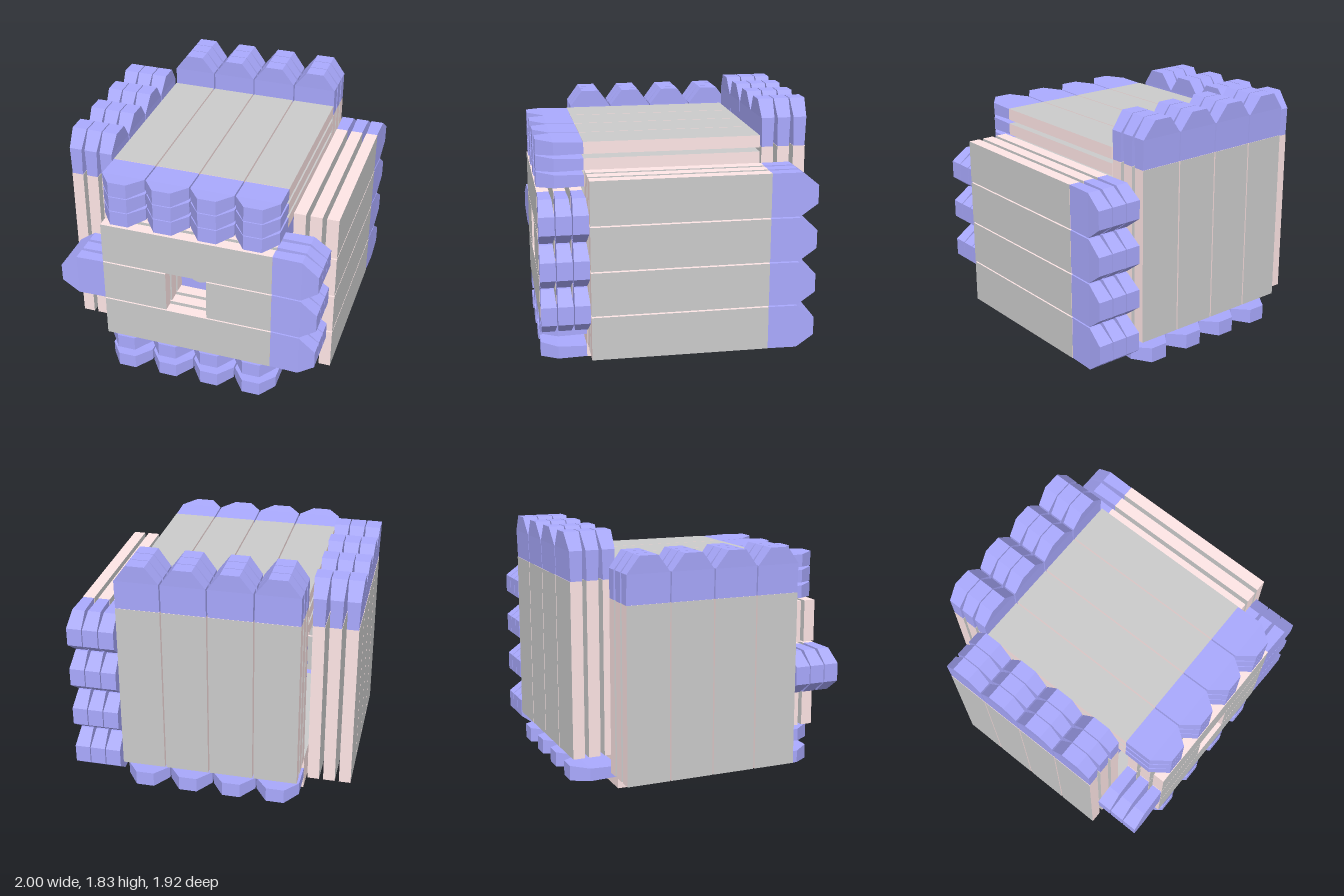
import * as THREE from 'three';

const mat = (color) => new THREE.MeshStandardMaterial({ color, flatShading: true });
const grey = mat(0xcccccc), pink = mat(0xffe6e6), blue = mat(0xaaaaff);
const orange = mat(0xf08010), magenta = mat(0xf080f0);

const PITCH = 0.32, WIDTH = 0.31, LENGTH = 1.24, THICK = 0.085;
const X = new THREE.Vector3(1, 0, 0), Y = new THREE.Vector3(0, 1, 0), Z = new THREE.Vector3(0, 0, 1);

// Tip that starts as thick as the plank, swells outwards and has clipped corners
function tipGeometry() {
  const sections = [[0, WIDTH, 0.08], [0.205, WIDTH, 0.092], [0.325, 0.13, 0.108]];
  const geo = new THREE.BoxGeometry(1, 2, 1, 1, 2, 1);
  const p = geo.attributes.position;
  for (let i = 0; i < p.count; i++) {
    const [h, w, t] = sections[Math.round(p.getY(i)) + 1];
    p.setXYZ(i, p.getX(i) * w, h, p.getZ(i) * t);
  }
  const flat = geo.toNonIndexed();
  flat.computeVertexNormals();
  return flat;
}
const tipGeo = tipGeometry();

// Plank with grey broad faces, pink edges and a blue tip; across = width axis, along = tip direction
function plank(center, across, along, length = LENGTH) {
  const g = new THREE.Group();
  g.name = 'plank';
  const board = new THREE.Mesh(
    new THREE.BoxGeometry(WIDTH, length, THICK),
    [pink, pink, pink, pink, grey, grey]
  );
  board.name = 'board';
  const tip = new THREE.Mesh(tipGeo, blue);
  tip.name = 'tip';
  tip.position.y = length / 2;
  g.add(board, tip);
  const normal = new THREE.Vector3().crossVectors(across, along);
  g.quaternion.setFromRotationMatrix(new THREE.Matrix4().makeBasis(across, along, normal));
  g.position.copy(center);
  return g;
}

// Stack of layers: rows spaced along "across", layers spaced along "out"
function panel({ name, center, across, along, out, rows = 4, depths, flips = [] }) {
  const g = new THREE.Group();
  g.name = name;
  depths.forEach((d, layer) => {
    const dir = along.clone().multiplyScalar(flips[layer] ? -1 : 1);
    for (let r = 0; r < rows; r++) {
      const c = center.clone()
        .addScaledVector(across, (r - (rows - 1) / 2) * PITCH)
        .addScaledVector(out, d);
      // The front panel's middle row is split around a window
      if (name === 'frontPanel' && r === 1) {
        for (const s of [-1, 1]) {
          const half = c.clone().addScaledVector(along, s * 0.385);
          g.add(plank(half, across, along.clone().multiplyScalar(s), 0.47));
        }
      } else {
        g.add(plank(c, across, dir));
      }
    }
  });
  return g;
}

function box(name, w, h, d, x, y, z, material) {
  const m = new THREE.Mesh(new THREE.BoxGeometry(w, h, d), material);
  m.name = name;
  m.position.set(x, y, z);
  return m;
}

// Inner block with a framed socket and round button behind the window
function core() {
  const g = new THREE.Group();
  g.name = 'core';
  const cy = 0.775;
  g.add(box('coreBlock', 0.96, 0.86, 0.86, 0, cy, 0, blue));

  const frame = new THREE.Shape([[-0.15, -0.14], [0.15, -0.14], [0.15, 0.14], [-0.15, 0.14]]
    .map(([x, y]) => new THREE.Vector2(x, y)));
  frame.holes.push(new THREE.Path([[-0.105, -0.1], [-0.105, 0.1], [0.105, 0.1], [0.105, -0.1]]
    .map(([x, y]) => new THREE.Vector2(x, y))));
  const plate = new THREE.Mesh(new THREE.ExtrudeGeometry(frame, { depth: 0.12, bevelEnabled: false }), grey);
  plate.name = 'socketFrame';
  plate.position.set(0, cy, 0.43);
  g.add(plate, box('socketFloor', 0.21, 0.2, 0.02, 0, cy, 0.45, orange));

  for (const [name, r, front, color] of [['buttonRing', 0.1, 0.56, magenta], ['button', 0.085, 0.66, grey]]) {
    const material = color.clone();
    material.flatShading = false;
    const m = new THREE.Mesh(new THREE.CylinderGeometry(r, r, front - 0.44, 32), material);
    m.name = name;
    m.rotation.x = Math.PI / 2;
    m.position.set(0, cy, (front + 0.44) / 2);
    g.add(m);
  }
  return g;
}

export function createModel() {
  const model = new THREE.Group();
  model.name = 'plankCube';
  const v = (x, y, z) => new THREE.Vector3(x, y, z);
  const neg = (a) => a.clone().negate();
  const sideDepths = [0.715, 0.83, 0.945], endDepths = [0.675, 0.79, 0.905];

  model.add(
    panel({ name: 'frontPanel', center: v(0, 0.775, 0), across: Y, along: X, out: Z, rows: 3, depths: endDepths }),
    panel({ name: 'backPanel', center: v(0, 0.89, 0), across: X, along: Y, out: neg(Z), depths: endDepths }),
    panel({ name: 'leftPanel', center: v(0, 0.77, 0), across: Y, along: neg(Z), out: X, depths: sideDepths }),
    panel({ name: 'rightPanel', center: v(0, 0.77, -0.05), across: Z, along: Y, out: neg(X), depths: sideDepths }),
    panel({ name: 'topPanel', center: v(0, 0, 0), across: X, along: Z, out: Y, depths: [1.32, 1.435, 1.55] }),
    // Bottom layers touch, the middle one pointing backwards
    panel({
      name: 'bottomPanel', center: v(0, 0, 0), across: X, along: Z, out: Y,
      depths: [0.056, 0.142, 0.228], flips: [false, true, false],
    }),
    core()
  );
  return model;
}
